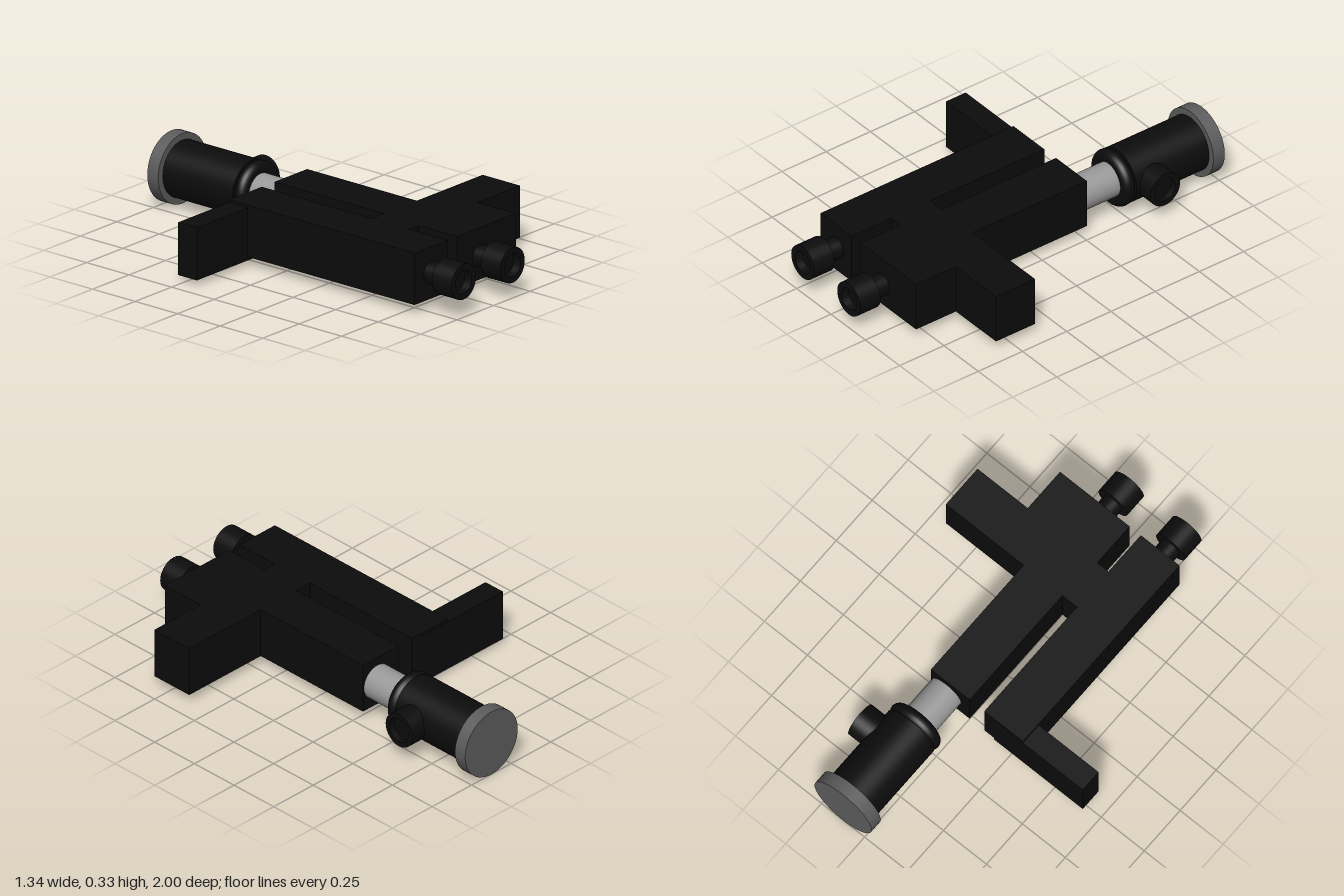
import * as THREE from 'three';

const black = new THREE.MeshStandardMaterial({ color: 0x0c0c0c });
const steel = new THREE.MeshStandardMaterial({ color: 0x999999 });
const darkGrey = new THREE.MeshStandardMaterial({ color: 0x5c5c5c });

function add(parent, name, geometry, material, x = 0, y = 0, z = 0) {
  const mesh = new THREE.Mesh(geometry, material);
  mesh.name = name;
  mesh.position.set(x, y, z);
  parent.add(mesh);
  return mesh;
}

// Cylinder lying along z, from z0 to z1
function rod(parent, name, r, z0, z1, x, y, material) {
  const geometry = new THREE.CylinderGeometry(r, r, z1 - z0, 48).rotateX(Math.PI / 2);
  return add(parent, name, geometry, material, x, y, (z0 + z1) / 2);
}

// Round screw head with a shallow socket, built from z = 0 towards +z
function socketHead(r, inner, length, depth) {
  const shape = new THREE.Shape().absarc(0, 0, r, 0, Math.PI * 2);
  shape.holes.push(new THREE.Path().absarc(0, 0, inner, 0, Math.PI * 2, true));
  const group = new THREE.Group();
  add(group, 'headRim', new THREE.ExtrudeGeometry(shape, { depth: length, bevelEnabled: false, curveSegments: 24 }), black);
  rod(group, 'socketFloor', inner, 0, length - depth, 0, 0, black);
  return group;
}

export function createModel() {
  const model = new THREE.Group();

  // Frame: two rails joined by a cross bar, extruded upwards from a plan outline [x, z]
  const plan = [
    [-0.32, -0.28], [-0.095, -0.28], [-0.095, 0.365], [-0.01, 0.365], [-0.01, -0.28],
    [0.215, -0.28], [0.215, 0.365], [0.667, 0.365], [0.667, 0.585], [0.375, 0.585],
    [0.375, 0.81], [-0.03, 0.81], [-0.03, 0.585], [-0.095, 0.585], [-0.095, 0.81], [-0.32, 0.81],
  ];
  const outline = new THREE.Shape(plan.map(([x, z]) => new THREE.Vector2(x, -z)));
  const frame = new THREE.ExtrudeGeometry(outline, { depth: 0.246, bevelEnabled: false }).rotateX(-Math.PI / 2);
  add(model, 'frame', frame, black, 0, 0.045, 0);

  // Rear side arm, set slightly lower than the frame
  add(model, 'sideArm', new THREE.BoxGeometry(0.515, 0.25, 0.11), black, -0.411, 0.153, -0.226);

  // Front screws
  for (const [x, y] of [[-0.205, 0.168], [0.13, 0.156]]) {
    const screw = new THREE.Group();
    screw.name = 'frontScrew';
    screw.position.set(x, y, 0.885);
    rod(screw, 'screwNeck', 0.052, -0.085, 0.01, 0, 0, black);
    screw.add(socketHead(0.084, 0.055, 0.115, 0.04));
    model.add(screw);
  }

  // Rear plunger: rod, sealing ring, barrel and end cap
  const cx = 0.125, cy = 0.166;
  rod(model, 'rod', 0.084, -0.54, -0.27, cx, cy, steel);
  add(model, 'ring', new THREE.TorusGeometry(0.106, 0.032, 20, 48), black, cx, cy, -0.497);
  rod(model, 'barrel', 0.135, -0.937, -0.526, cx, cy, black);
  rod(model, 'endCap', 0.166, -1, -0.936, cx, cy, darkGrey);

  // Side knob on the barrel
  const knob = socketHead(0.084, 0.06, 0.12, 0.03);
  knob.name = 'sideKnob';
  knob.rotation.y = Math.PI / 2;
  knob.position.set(0.216, 0.16, -0.628);
  model.add(knob);

  return model;
}
